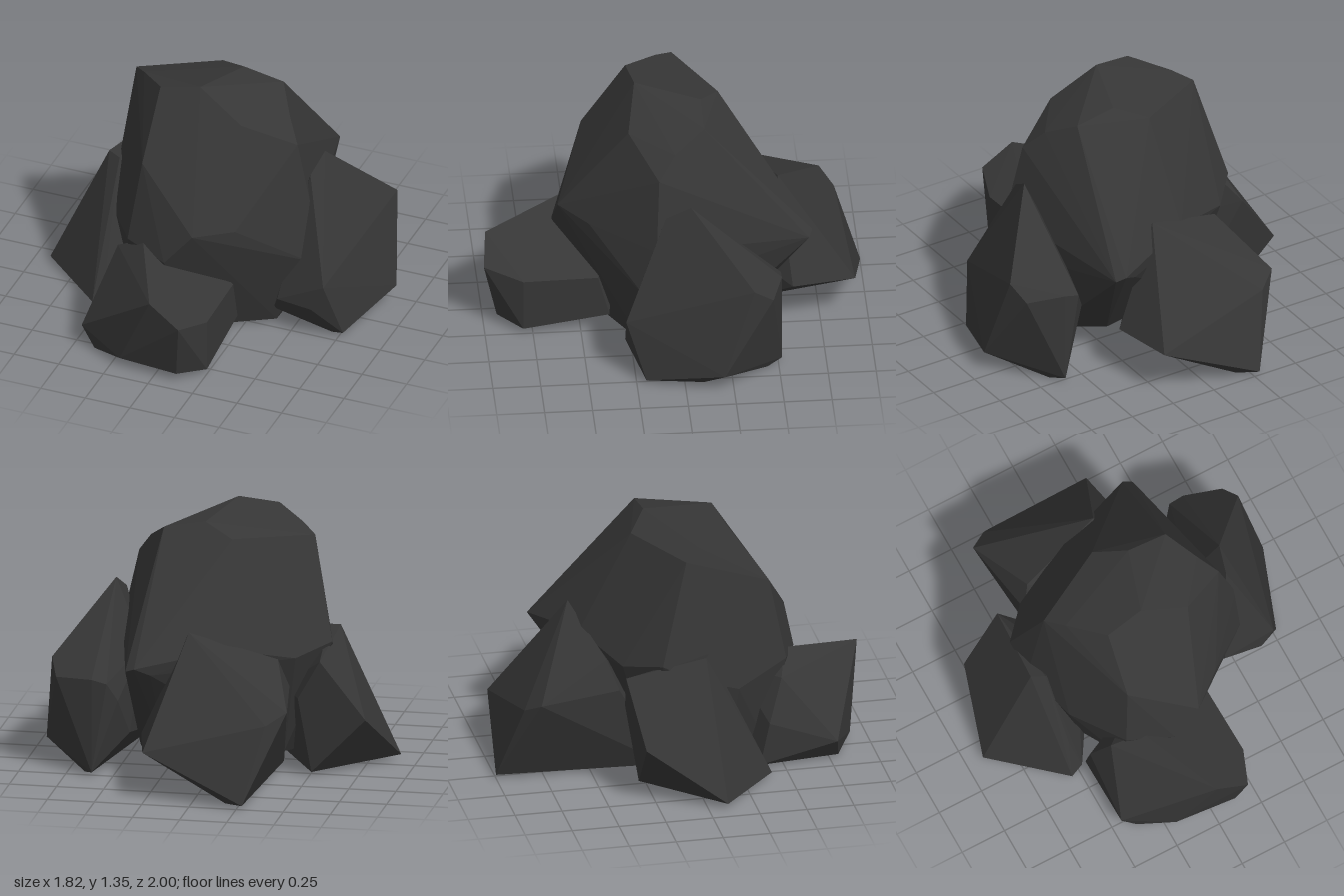
import * as THREE from 'three';
import { ConvexGeometry } from 'three/addons/geometries/ConvexGeometry.js';

// Each boulder is the convex hull of a few corner points.
const ROCKS = {
  mainBoulder: [
    // crown
    [-0.48, 1.23, -0.03], [-0.4, 1.27, 0.06], [-0.24, 1.32, 0.23], [-0.03, 1.35, 0.2],
    [0.22, 1.2, 0.25], [0.3, 1.26, -0.14], [0.08, 1.3, -0.14], [-0.08, 1.24, -0.24],
    [0.4, 1.17, 0.02], [0.48, 1.06, 0.11],
    // waist
    [-0.25, 0.98, 0.46], [0.09, 0.69, 0.61], [-0.06, 0.51, 0.63], [-0.3, 0.55, 0.54],
    [0.27, 0.68, 0.46], [0.57, 0.68, 0.13], [0.57, 0.42, 0.2],
    [-0.6, 0.7, -0.18], [-0.58, 0.6, -0.02], [-0.48, 0.48, 0.25],
    // rear shelf
    [0.35, 0.64, -0.7], [0.4, 0.62, -0.68], [0.27, 0.6, -0.66], [-0.44, 0.65, -0.36],
    [-0.1, 0.72, -0.52],
    // foot
    [0.4, 0.02, 0.2], [0.43, 0.06, -0.1], [0.25, 0.13, -0.35], [-0.4, 0.02, 0.2],
    [-0.35, 0.1, -0.2], [0.0, 0.01, 0.42], [-0.3, 0.1, 0.42],
  ],
  frontBoulder: [
    [0, 0.48, 0.98], [0.17, 0.37, 1.0], [0.25, 0.32, 0.8], [0.24, 0.32, 0.41],
    [0.25, 0.03, 0.8], [0.13, 0.05, 0.93], [-0.38, 0.01, 0.8], [-0.46, 0.12, 0.78],
    [-0.2, 0.05, 0.9], [-0.21, 0.57, 0.55], [-0.37, 0.47, 0.5], [-0.45, 0.25, 0.42],
    [-0.45, 0.02, 0.37], [0.24, 0.09, 0.35], [0.1, 0.01, 0.82], [-0.1, 0.45, 0.3],
  ],
  backBoulder: [
    [0.09, 0.81, -0.54], [-0.48, 0.48, -0.8], [-0.36, 0.66, -0.43], [-0.41, 0.5, -0.37],
    [-0.38, 0.42, -0.87], [0.26, 0.26, -0.93], [0.33, 0.27, -0.6], [-0.28, 0.02, -1.0],
    [-0.18, 0.01, -0.93], [-0.33, 0.02, -0.11], [0.05, 0.02, -0.34], [0.0, 0.4, -0.25],
  ],
  leftBoulder: [
    [0.57, 0.95, -0.05], [0.54, 0.87, 0.08], [0.85, 0.59, -0.36], [0.81, 0.51, -0.46],
    [0.61, 0.52, -0.52], [0.53, 0.5, -0.52], [0.48, 0.4, -0.47], [0.91, 0.11, -0.2],
    [0.78, 0.0, -0.1], [0.7, 0.34, 0.3], [0.63, 0.19, 0.3], [0.77, 0.02, 0.2],
    [0.7, 0.0, 0.18], [0.39, 0.1, 0.22], [0.43, 0.19, 0.27], [0.58, 0.7, 0.14],
    [0.61, 0.02, -0.52], [0.66, 0.0, -0.44], [0.44, 0.2, -0.35], [0.42, 0.6, -0.1],
  ],
  rightBoulder: [
    [-0.91, 0.03, 0.1], [-0.8, 0.32, -0.31], [-0.6, 0.73, 0.05], [-0.53, 0.72, 0.08],
    [-0.57, 0.64, -0.37], [-0.45, 0.43, -0.35], [-0.55, 0.4, 0.18], [-0.47, 0.48, 0.14],
    [-0.55, 0.02, 0.41], [-0.47, 0.0, 0.37], [-0.51, 0.22, 0.3], [-0.51, 0.02, -0.29],
    [-0.3, 0.4, 0], [-0.3, 0.02, 0.1],
  ],
};

export function createModel() {
  const group = new THREE.Group();
  group.name = 'rockPile';
  const stone = new THREE.MeshStandardMaterial({ color: 0x363636 });
  stone.name = 'darkStone';

  for (const [name, corners] of Object.entries(ROCKS)) {
    const points = corners.map((corner) => new THREE.Vector3(...corner));
    const rock = new THREE.Mesh(new ConvexGeometry(points), stone);
    rock.name = name;
    group.add(rock);
  }
  return group;
}
